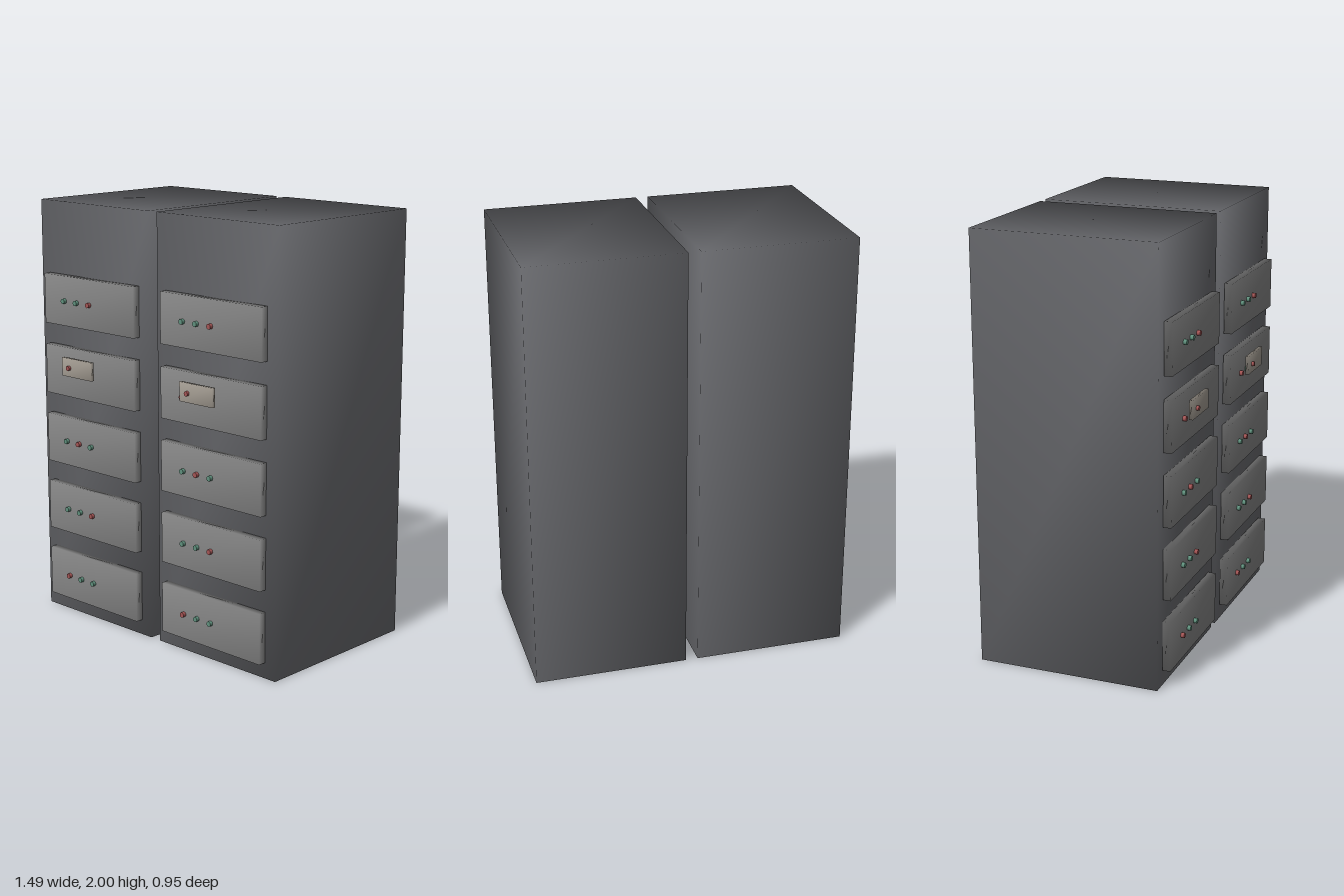
import * as THREE from 'three';
import { mergeVertices } from 'three/addons/utils/BufferGeometryUtils.js';

const paint = (color) => new THREE.MeshStandardMaterial({ color });
const cabinetPaint = paint(0x68696d);
const panelPaint = paint(0x858585);
const platePaint = paint(0xa39c92);
const green = paint(0x5f8f7c);
const red = paint(0xa25454);

// Box whose corners share normals, for soft shading across the faces
function softBox(w, h, d) {
  let geometry = new THREE.BoxGeometry(w, h, d);
  geometry.deleteAttribute('normal');
  geometry.deleteAttribute('uv');
  geometry = mergeVertices(geometry);
  geometry.computeVertexNormals();
  return geometry;
}

const cabinetGeo = softBox(0.715, 2, 0.86);
const panelGeo = softBox(0.6, 0.235, 0.037);
const plateGeo = softBox(0.2, 0.087, 0.017);
const buttonGeo = new THREE.CylinderGeometry(0.012, 0.012, 0.016, 16).rotateX(Math.PI / 2);
const smallButtonGeo = new THREE.CylinderGeometry(0.011, 0.011, 0.012, 16).rotateX(Math.PI / 2);

function add(group, name, geometry, material, x, y, z) {
  const mesh = new THREE.Mesh(geometry, material);
  mesh.name = name;
  mesh.position.set(x, y, z);
  group.add(mesh);
}

// Which of the three buttons is red, from the bottom panel up
const redButton = [0, 2, 1, 0, 2];

function createCabinet(name) {
  const cabinet = new THREE.Group();
  cabinet.name = name;
  add(cabinet, 'cabinetBody', cabinetGeo, cabinetPaint, 0, 1, -0.045);

  // Five front panels, each with a row of three buttons
  redButton.forEach((redIndex, row) => {
    const y = 0.192 + row * 0.3375;
    add(cabinet, 'frontPanel', panelGeo, panelPaint, 0, y, 0.4065);
    [-0.16, -0.076, 0.008].forEach((x, i) => {
      add(cabinet, 'panelButton', buttonGeo, i === redIndex ? red : green, x, y, 0.433);
    });
  });

  // Small control plate over the fourth panel
  add(cabinet, 'controlPlate', plateGeo, platePaint, -0.046, 1.239, 0.4545);
  add(cabinet, 'controlPlateButton', smallButtonGeo, red, -0.096, 1.237, 0.469);
  return cabinet;
}

export function createModel() {
  const model = new THREE.Group();
  model.name = 'cabinetPair';
  for (const [name, x] of [['rightCabinet', -0.386], ['leftCabinet', 0.386]]) {
    const cabinet = createCabinet(name);
    cabinet.position.x = x;
    model.add(cabinet);
  }
  return model;
}
